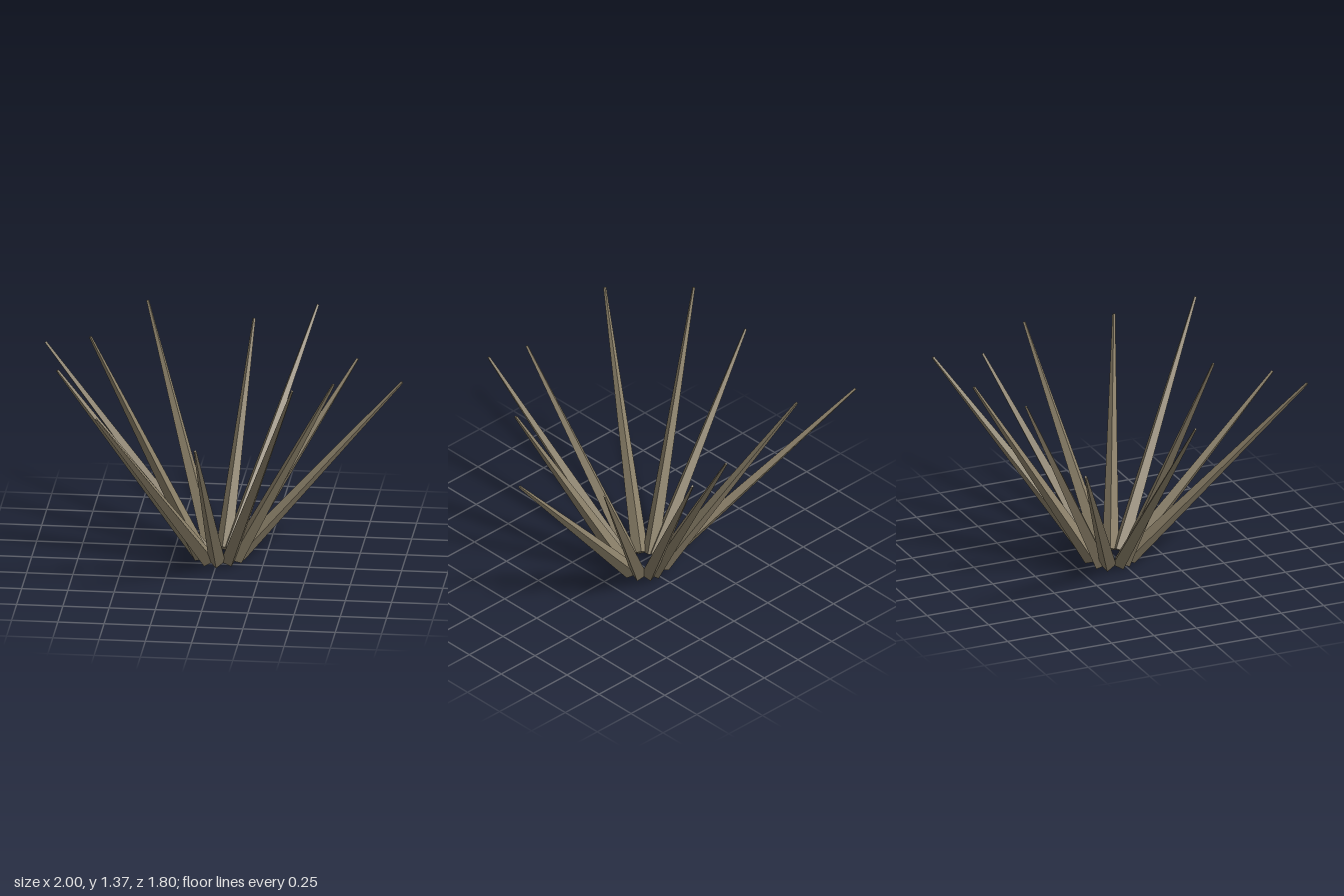
import * as THREE from 'three';

// Tip of every blade: x, y, z
const TIPS = [
  [-0.02, 0.97, 0.89],
  [0.48, 1.25, 0.66],
  [0.66, 1.15, 0.26],
  [0.99, 1.04, -0.12],
  [0.71, 1.03, -0.49],
  [0.45, 1.18, -0.9],
  [0.115, 1.12, -0.81],
  [-0.455, 1.22, -0.76],
  [-0.995, 1.0, -0.65],
  [-0.855, 1.1, 0.06],
  [-0.655, 1.37, 0.255],
  [-0.56, 1.115, 0.85],
];
const CENTRE = new THREE.Vector3(0.01, 0.038, -0.055);
const RING_RADIUS = 0.1;
const BASE_RADIUS = 0.045;
const TIP_RADIUS = 0.008;

export function createModel() {
  const group = new THREE.Group();
  group.name = 'spikyGrass';
  const material = new THREE.MeshStandardMaterial({ color: 0x8a7f68, flatShading: true });

  TIPS.forEach((t, i) => {
    const tip = new THREE.Vector3(...t);
    // Root sits on a small ring, in the direction the blade leans
    const root = tip.clone().sub(CENTRE).setY(0).setLength(RING_RADIUS).add(CENTRE);
    const length = root.distanceTo(tip);

    // Four-sided taper lying along +z, with a ridge on top
    const geometry = new THREE.CylinderGeometry(TIP_RADIUS, BASE_RADIUS, length, 4);
    geometry.translate(0, length / 2, 0);
    geometry.rotateX(Math.PI / 2);

    const blade = new THREE.Mesh(geometry, material);
    blade.name = `blade${i + 1}`;
    blade.position.copy(root);
    blade.lookAt(tip);
    group.add(blade);
  });
  return group;
}
